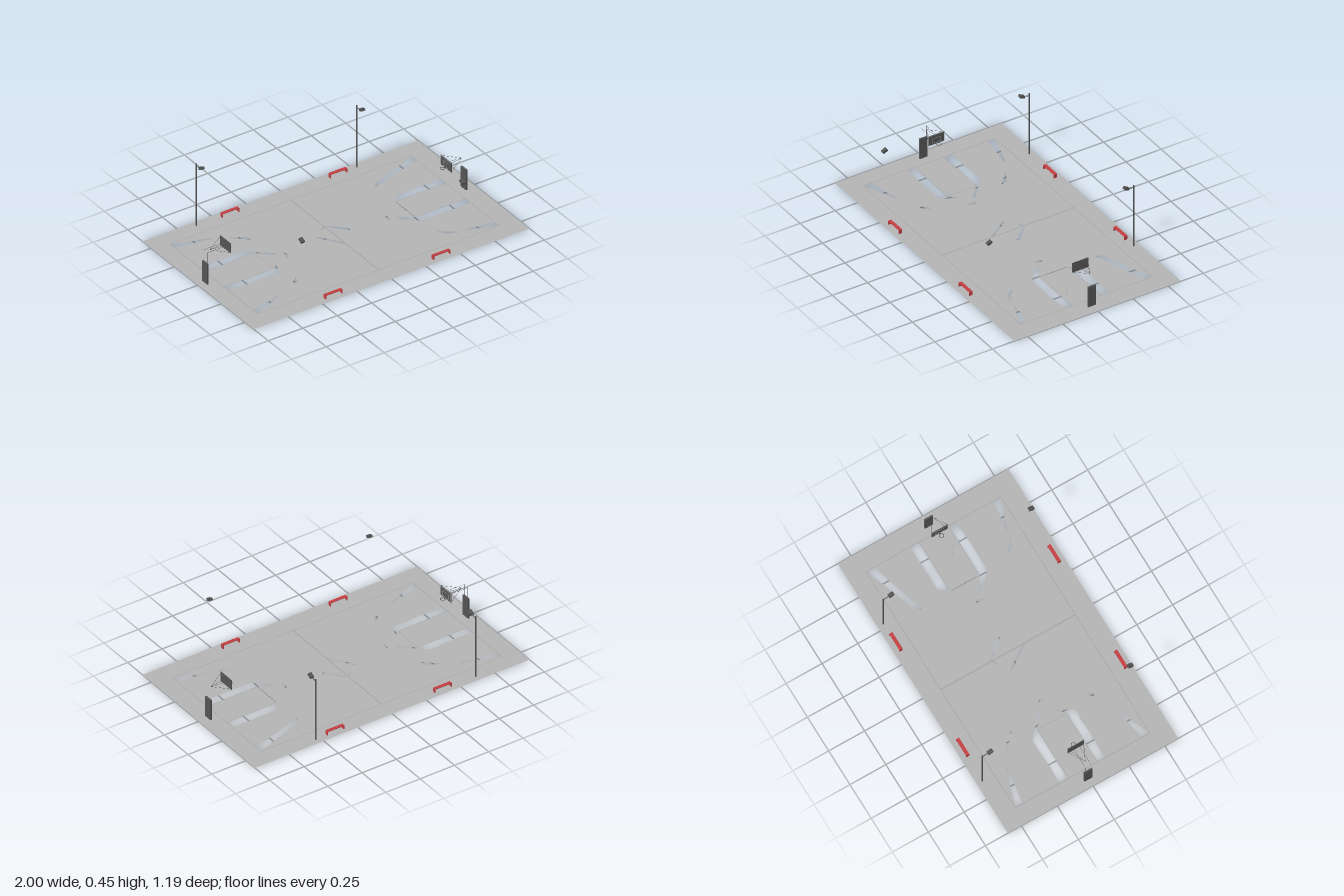
import * as THREE from 'three';

const mat = (name, color, side = THREE.FrontSide) => {
  const m = new THREE.MeshStandardMaterial({ color, side });
  m.name = name;
  return m;
};

export function createModel() {
  const root = new THREE.Group();
  root.name = 'basketballCourt';
  const paving = mat('paving grey', 0xb4b4b4, THREE.DoubleSide);
  const metal = mat('dark metal', 0x555555);
  const red = mat('bench red', 0xc43f42);
  const white = mat('marking grey', 0xa6a6a6);

  const add = (parent, name, geo, material, x = 0, y = 0, z = 0) => {
    const m = new THREE.Mesh(geo, material);
    m.name = name;
    m.position.set(x, y, z);
    parent.add(m);
    return m;
  };
  const box = (parent, name, material, w, h, d, x, y, z) =>
    add(parent, name, new THREE.BoxGeometry(w, h, d), material, x, y, z);
  const rod = (parent, name, a, b, r = 0.0012) => {
    const p = new THREE.Vector3(...a), q = new THREE.Vector3(...b);
    const m = add(parent, name, new THREE.CylinderGeometry(r, r, p.distanceTo(q), 6), metal);
    m.position.copy(p).add(q).multiplyScalar(0.5);
    m.quaternion.setFromUnitVectors(new THREE.Vector3(0, 1, 0), q.sub(p).normalize());
    return m;
  };

  // Ground sheets: outlines are given as [x, z] points, holes are cut out
  const toPoints = (pts) => pts.map(([x, z]) => new THREE.Vector2(x, -z));
  const rect = (x0, x1, z0, z1) => [[x0, z0], [x1, z0], [x1, z1], [x0, z1]];
  const sheet = (name, outline, holes) => {
    const s = new THREE.Shape(toPoints(outline));
    for (const h of holes) s.holes.push(new THREE.Path(toPoints(h)));
    add(root, name, new THREE.ShapeGeometry(s).rotateX(-Math.PI / 2), paving);
  };
  sheet('courtSurround', rect(-1, 1, -0.594, 0.594), [rect(-0.886, 0.872, -0.476, 0.468)]);
  sheet('rightHalfCourt', rect(-0.88, -0.011, -0.471, 0.463), [
    [[-0.878, -0.469], [-0.63, -0.39], [-0.635, -0.382], [-0.878, -0.42]],
    [[-0.55, -0.335], [-0.455, -0.285], [-0.45, -0.24]],
    [[-0.878, -0.165], [-0.76, -0.16], [-0.57, -0.167], [-0.41, -0.03], [-0.43, -0.018], [-0.52, -0.107], [-0.878, -0.107]],
    [[-0.37, -0.02], [-0.362, 0.015], [-0.387, 0.06]],
    [[-0.878, 0.102], [-0.52, 0.102], [-0.455, 0.04], [-0.53, 0.16], [-0.6, 0.152], [-0.7, 0.16], [-0.878, 0.15]],
    [[-0.465, 0.255], [-0.48, 0.295], [-0.515, 0.308], [-0.505, 0.285]],
    [[-0.878, 0.411], [-0.64, 0.362], [-0.878, 0.461]],
    [[-0.12, -0.045], [-0.1, -0.04], [-0.013, 0.09], [-0.013, 0.115]],
    [[-0.05, -0.09], [-0.013, -0.12], [-0.013, -0.105]],
  ]);
  sheet('leftHalfCourt', rect(-0.001, 0.867, -0.471, 0.463), [
    [[0.001, -0.12], [0.112, -0.02], [0.1, 0.005], [0.03, -0.07]],
    [[0.865, -0.469], [0.515, -0.345], [0.5, -0.308], [0.865, -0.418]],
    [[0.51, -0.107], [0.555, -0.165], [0.865, -0.165], [0.865, -0.107]],
    rect(0.502, 0.508, -0.1, 0.095),
    [[0.405, 0.04], [0.51, 0.102], [0.865, 0.102], [0.865, 0.152], [0.7, 0.16], [0.51, 0.155], [0.435, 0.09]],
    [[0.37, -0.02], [0.372, 0.02], [0.36, 0.05], [0.35, 0.02]],
    [[0.525, 0.305], [0.59, 0.355], [0.625, 0.385], [0.555, 0.362]],
    [[0.65, 0.385], [0.865, 0.411], [0.865, 0.461]],
    [[0.69, 0.01], [0.715, 0.035], [0.705, 0.035]],
    [[0.725, 0.04], [0.75, 0.065], [0.74, 0.065]],
  ]);

  // Court lines, facing up only
  const line = (name, x0, x1, z0, z1, y = 0) =>
    add(root, name, new THREE.PlaneGeometry(x1 - x0, z1 - z0).rotateX(-Math.PI / 2),
      white, (x0 + x1) / 2, y, (z0 + z1) / 2);
  line('centreLine', -0.011, -0.001, -0.471, 0.463);
  line('backSideline', -0.886, 0.872, -0.476, -0.471);
  line('frontSideline', -0.886, 0.872, 0.463, 0.468);
  line('rightBaseline', -0.886, -0.88, -0.471, 0.463);
  line('leftBaseline', 0.867, 0.872, -0.471, 0.463);
  for (const [x0, x1] of [[-0.88, -0.52], [0.51, 0.867]]) {
    line('keyLineBack', x0, x1, -0.107, -0.103, 0.0006);
    line('keyLineFront', x0, x1, 0.098, 0.102, 0.0006);
  }
  line('freeThrowLine', -0.522, -0.518, -0.105, 0.1, 0.0006);

  // Hoops
  for (const s of [-1, 1]) {
    const hoop = new THREE.Group();
    hoop.name = s < 0 ? 'rightHoop' : 'leftHoop';
    root.add(hoop);
    const bx = s * 0.8, padX = s < 0 ? -0.946 : 0.93;
    box(hoop, 'postPad', metal, 0.011, 0.143, 0.056, padX, 0.0715, -0.002);
    box(hoop, 'backboard', metal, 0.004, 0.068, 0.114, bx, 0.219, -0.002);
    // Painted borders and target square on the playing side
    const face = bx - s * 0.0025;
    const frame = (name, w, h, y, t) => {
      for (const k of [-1, 1]) {
        box(hoop, name, white, 0.001, t, w, face, y + k * (h - t) / 2, -0.002);
        box(hoop, name, white, 0.001, h, t, face, y, -0.002 + k * (w - t) / 2);
      }
    };
    frame('boardBorder', 0.112, 0.066, 0.219, 0.002);
    frame('targetSquare', 0.06, 0.036, 0.213, 0.002);
    // Ring and bracket
    const ring = add(hoop, 'ring', new THREE.TorusGeometry(0.014, 0.0018, 6, 16), metal, s * 0.775, 0.194, -0.004);
    ring.rotation.x = Math.PI / 2;
    box(hoop, 'ringBracket', metal, 0.012, 0.004, 0.01, s * 0.794, 0.194, -0.004);
    // Struts spreading to the corners of the board
    for (const z of [-0.055, 0.052]) for (const y of [0.188, 0.25])
      rod(hoop, 'strut', [s * 0.912, 0.22, -0.002], [bx, y, z], 0.0008);
    if (s < 0) for (const z of [-0.022, 0.018]) {
      rod(hoop, 'upright', [padX, 0.143, z], [padX, 0.222, z]);
      rod(hoop, 'supportArm', [padX, 0.221, z], [bx, 0.221, z], 0.0008);
    }
  }

  // Floodlights: poles stand along the back edge
  const head = (name, x, side) => {
    const h = box(root, name, metal, 0.024, 0.016, 0.034, x, 0.437, side * 0.502);
    h.rotation.x = side * 0.45;
  };
  for (const x of [-0.634, 0.53]) {
    box(root, 'lampPole', metal, 0.006, 0.44, 0.007, x, 0.22, -0.556);
    rod(root, 'lampArm', [x, 0.422, -0.556], [x, 0.434, -0.512], 0.0025);
    head('backLamp', x, -1);
  }
  for (const x of [-0.59, 0.575]) head('frontLamp', x, 1);

  // Benches: bent sheet with a seat and two ends
  for (const x of [-0.395, 0.388]) for (const z of [-0.551, 0.551]) {
    const bench = new THREE.Group();
    bench.name = 'bench';
    bench.position.set(x, 0, z);
    root.add(bench);
    box(bench, 'benchSeat', red, 0.122, 0.004, 0.022, 0, 0.026, 0);
    for (const k of [-1, 1])
      box(bench, 'benchEnd', red, 0.004, 0.024, 0.022, k * 0.059, 0.012, 0);
  }
  return root;
}
